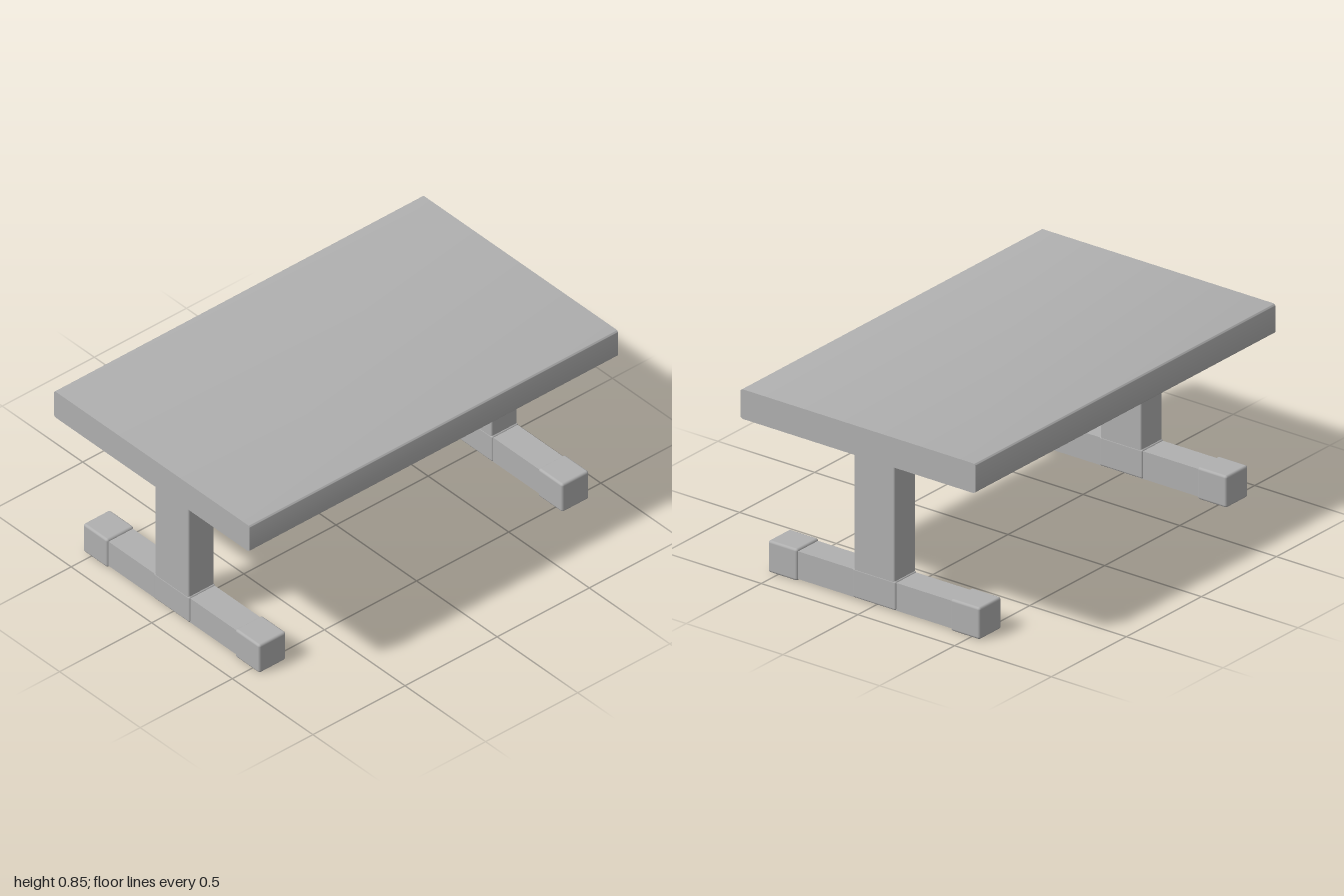
import * as THREE from 'three';
import { toCreasedNormals } from 'three/addons/utils/BufferGeometryUtils.js';
import { RoundedBoxGeometry } from 'three/addons/geometries/RoundedBoxGeometry.js';

// Bar running along x, with the four long edges rounded and square-cut ends
function roundedBar(length, height, depth, r) {
  const w = depth / 2, h = height / 2;
  const s = new THREE.Shape();
  s.moveTo(-w + r, -h);
  s.lineTo(w - r, -h);
  s.absarc(w - r, -h + r, r, -Math.PI / 2, 0);
  s.absarc(w - r, h - r, r, 0, Math.PI / 2);
  s.absarc(-w + r, h - r, r, Math.PI / 2, Math.PI);
  s.absarc(-w + r, -h + r, r, Math.PI, Math.PI * 1.5);
  const g = new THREE.ExtrudeGeometry(s, { depth: length, bevelEnabled: false, curveSegments: 4 });
  g.translate(0, 0, -length / 2);
  g.rotateY(Math.PI / 2);
  return toCreasedNormals(g, Math.PI / 5);
}

export function createModel() {
  const model = new THREE.Group();
  model.name = 'table';
  const grey = new THREE.MeshStandardMaterial({ color: 0xb0b0b0 });
  grey.name = 'grey';

  const add = (parent, name, geometry, x, y, z) => {
    const mesh = new THREE.Mesh(geometry, grey);
    mesh.name = name;
    mesh.position.set(x, y, z);
    parent.add(mesh);
  };

  // Thick slab top with rounded front and back edges
  add(model, 'tableTop', roundedBar(2, 0.133, 1.216, 0.014), 0, 0.7785, 0);

  // Pedestal at each end: post, foot beam, centre joint and two end blocks
  const post = new RoundedBoxGeometry(0.14, 0.59, 0.212, 2, 0.008);
  const beam = new THREE.BoxGeometry(0.132, 0.124, 0.82);
  const joint = new RoundedBoxGeometry(0.142, 0.13, 0.224, 2, 0.008);
  const block = new RoundedBoxGeometry(0.146, 0.143, 0.152, 2, 0.011);
  for (const side of [1, -1]) {
    const leg = new THREE.Group();
    leg.name = side > 0 ? 'leftPedestal' : 'rightPedestal';
    leg.position.x = side * 0.822;
    add(leg, 'post', post, 0, 0.419, 0);
    add(leg, 'footBeam', beam, 0, 0.071, 0);
    add(leg, 'centreJoint', joint, 0, 0.074, 0);
    for (const end of [1, -1]) add(leg, 'endBlock', block, 0, 0.0715, end * 0.472);
    model.add(leg);
  }
  return model;
}
